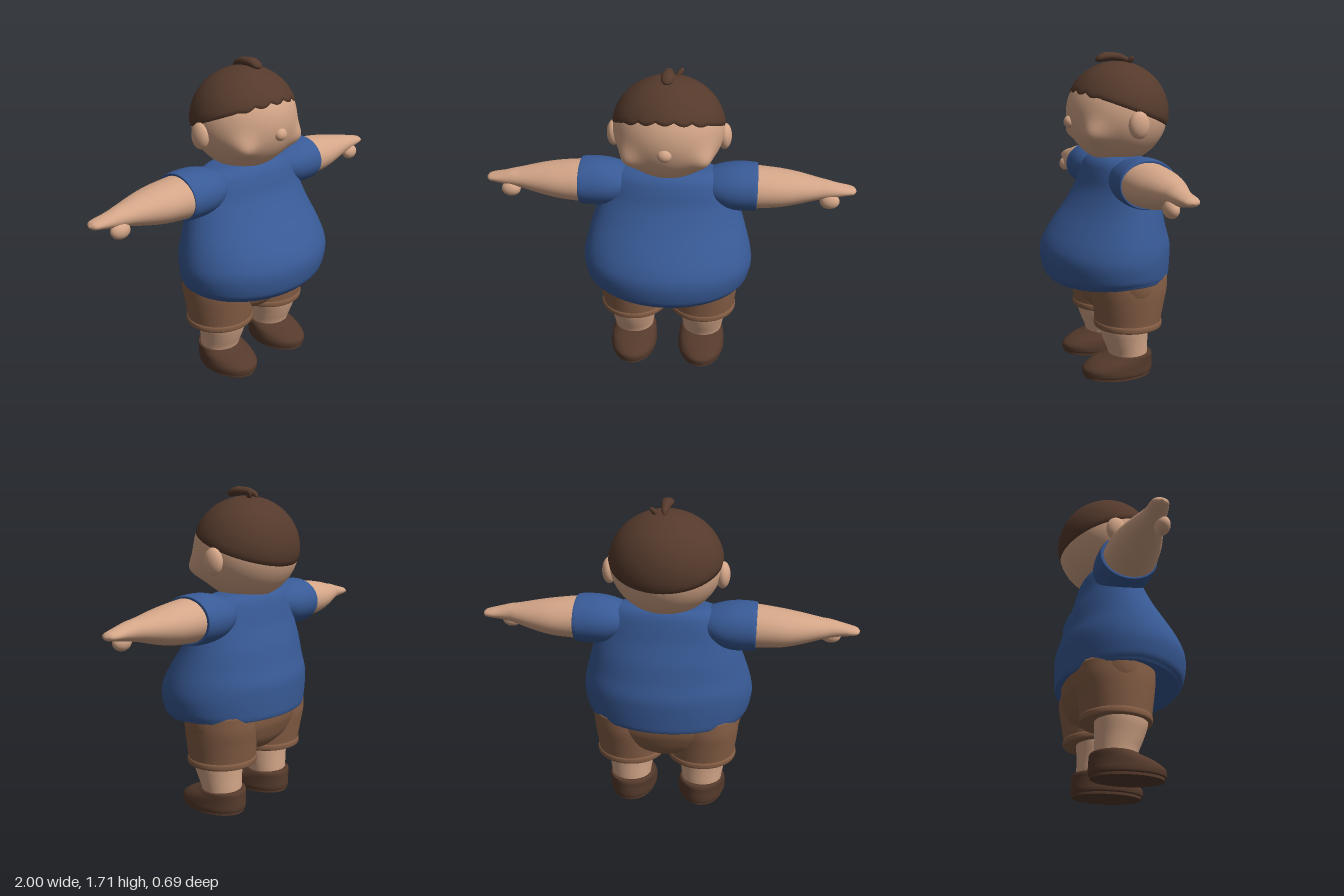
import * as THREE from 'three';

const mat = (name, color) => {
  const m = new THREE.MeshStandardMaterial({ color });
  m.name = name;
  return m;
};

// Catmull-Rom blend of one number
const cr = (a, b, c, d, t) =>
  0.5 * (2 * b + (c - a) * t + (2 * a - 5 * b + 4 * c - d) * t * t + (3 * b - a - 3 * c + d) * t * t * t);

// Closed smooth surface from rows of points, with both ends capped
function skin(rows) {
  const n = rows[0].length, pos = rows.flat(2), index = [];
  for (let i = 0; i < rows.length - 1; i++)
    for (let j = 0; j < n; j++) {
      const a = i * n + j, b = i * n + (j + 1) % n, c = a + n, d = b + n;
      index.push(a, c, b, b, c, d);
    }
  const last = (rows.length - 1) * n;
  for (let j = 1; j < n - 1; j++) {
    index.push(0, j, j + 1);
    index.push(last, last + j + 1, last + j);
  }
  const g = new THREE.BufferGeometry();
  g.setAttribute('position', new THREE.Float32BufferAttribute(pos, 3));
  g.setIndex(index);
  g.computeVertexNormals();
  return g;
}

// Loft along an axis; section = [t, centreU, centreV, radiusU, radiusV]
// axis y: u=x v=z; axis x: u=z v=y; axis z: u=y v=x
const place = {
  y: (t, u, v) => [u, t, v],
  x: (t, u, v) => [t, v, u],
  z: (t, u, v) => [v, u, t],
};
function loft(axis, s, { steps = 5, sides = 48, bend = null } = {}) {
  const rows = [];
  const at = i => s[Math.max(0, Math.min(s.length - 1, i))];
  for (let i = 0; i < s.length - 1; i++)
    for (let k = 0; k < steps + (i === s.length - 2 ? 1 : 0); k++) {
      const [t, cu, cv, ru, rv] = s[i].map((_, c) => cr(at(i - 1)[c], at(i)[c], at(i + 1)[c], at(i + 2)[c], k / steps));
      const row = [];
      for (let j = 0; j < sides; j++) {
        const a = j / sides * Math.PI * 2;
        const p = place[axis](t, cu + Math.max(ru, 0.001) * Math.cos(a), cv + Math.max(rv, 0.001) * Math.sin(a));
        if (bend) bend(p, a);
        row.push(p);
      }
      rows.push(row);
    }
  return skin(rows);
}

// Mirrored copy across x, with the corner order turned round
function mirror(g) {
  const m = g.clone().scale(-1, 1, 1), ix = m.index.array;
  for (let i = 0; i < ix.length; i += 3) [ix[i], ix[i + 1]] = [ix[i + 1], ix[i]];
  m.computeVertexNormals();
  return m;
}

const ball = (x, y, z, rx, ry, rz, w = 32) =>
  new THREE.SphereGeometry(1, w, Math.round(w * 0.7)).scale(rx, ry, rz).translate(x, y, z);

export function createModel() {
  const model = new THREE.Group();
  const skinTone = mat('skin', 0xd4a688), blue = mat('shirtBlue', 0x385a96);
  const tan = mat('shortsBrown', 0x855e45), dark = mat('darkBrown', 0x553a2c);
  const add = (name, g, m) => {
    const mesh = new THREE.Mesh(g, m);
    mesh.name = name;
    model.add(mesh);
  };
  const pair = (name, g, m) => {
    add('left' + name, g, m);
    add('right' + name, mirror(g), m);
  };

  // Shirt: big belly, hem dipping at the front
  add('shirt', loft('y', [
    [0.555, 0, -0.02, 0.34, 0.24],
    [0.54, 0, -0.02, 0.395, 0.285],
    [0.53, 0, -0.015, 0.425, 0.31],
    [0.545, 0, -0.01, 0.437, 0.322],
    [0.575, 0, 0.0, 0.452, 0.334],
    [0.65, 0, 0.005, 0.465, 0.341],
    [0.72, 0, -0.005, 0.457, 0.328],
    [0.8, 0, -0.02, 0.436, 0.29],
    [0.9, 0, -0.045, 0.405, 0.24],
    [1.0, 0, -0.058, 0.375, 0.192],
    [1.08, 0, -0.062, 0.345, 0.168],
    [1.13, 0, -0.065, 0.31, 0.15],
    [1.16, 0, -0.07, 0.25, 0.125],
    [1.17, 0, -0.07, 0.15, 0.09],
    [1.17, 0, -0.07, 0.01, 0.01],
  ], {
    sides: 64,
    bend: (p, a) => {
      const k = Math.max(0, Math.min(1, (0.68 - p[1]) / 0.13));
      p[1] -= 0.03 * k * Math.max(0, Math.sin(a));
    },
  }), blue);

  // Sleeves, with a rim turned in around the arm
  pair('Sleeve', loft('x', [
    [0.17, -0.07, 1.07, 0.08, 0.07],
    [0.24, -0.07, 1.07, 0.125, 0.095],
    [0.3, -0.07, 1.066, 0.145, 0.117],
    [0.36, -0.07, 1.066, 0.152, 0.127],
    [0.42, -0.07, 1.066, 0.152, 0.128],
    [0.466, -0.07, 1.066, 0.15, 0.124],
    [0.475, -0.07, 1.066, 0.143, 0.118],
    [0.47, -0.07, 1.066, 0.12, 0.1],
  ]), blue);

  // Arms tapering to pointed mitten hands
  pair('Arm', loft('x', [
    [0.4, -0.065, 1.066, 0.135, 0.112],
    [0.475, -0.065, 1.066, 0.137, 0.11],
    [0.6, -0.07, 1.064, 0.127, 0.098],
    [0.7, -0.07, 1.066, 0.104, 0.08],
    [0.8, -0.065, 1.069, 0.075, 0.056],
    [0.85, -0.06, 1.07, 0.061, 0.047],
    [0.9, -0.06, 1.068, 0.052, 0.036],
    [0.95, -0.065, 1.066, 0.046, 0.026],
    [0.985, -0.066, 1.064, 0.034, 0.018],
    [1.0, -0.066, 1.063, 0.003, 0.003],
  ]), skinTone);
  pair('Thumb', ball(0.86, 1.017, -0.022, 0.052, 0.042, 0.036), skinTone);

  // Head with raised cheeks
  const C = [0, 1.392, -0.07];
  const head = ball(...C, 0.29, 0.266, 0.27, 72);
  const hp = head.attributes.position, v = new THREE.Vector3();
  for (let i = 0; i < hp.count; i++) {
    v.fromBufferAttribute(hp, i);
    const d2 = (Math.abs(v.x) - 0.19) ** 2 + (v.y - 1.29) ** 2 + (v.z - 0.11) ** 2;
    const b = 0.045 * Math.exp(-d2 / 0.0045);
    hp.setXYZ(i, v.x + Math.sign(v.x) * b * 0.45, v.y - b * 0.2, v.z + b * 0.85);
  }
  head.computeVertexNormals();
  add('head', head, skinTone);
  add('nose', ball(0, 1.348, 0.194, 0.037, 0.033, 0.029), skinTone);
  pair('Ear', ball(0.292, 1.343, -0.088, 0.037, 0.07, 0.055), skinTone);

  // Hair cap: sloping edge, scalloped across the forehead
  const rows = [], n = 144, up = 18;
  for (let i = -1; i <= up; i++) {
    const row = [];
    for (let j = 0; j < n; j++) {
      const a = j / n * Math.PI * 2, s = Math.sin(a);
      const fringe = Math.max(0, Math.min(1, (s - 0.55) * 4));
      const edge = 1.412 + 0.1 * s - 0.016 * fringe * (Math.abs(Math.sin(a * 9)) - 0.3);
      const lat0 = Math.asin((edge - C[1]) / 0.271);
      const lat = lat0 + (Math.PI / 2 - 0.005 - lat0) * Math.max(0, i) / up;
      const k = i < 0 ? 0.95 : i === 0 ? 0.995 : 1.012;
      row.push([0.293 * k * Math.cos(lat) * Math.cos(a), C[1] + 0.268 * k * Math.sin(lat),
        C[2] + 0.272 * k * Math.cos(lat) * s]);
    }
    rows.push(row);
  }
  add('hair', skin(rows), dark);

  // Curl and small tuft on the crown
  add('curl', loft('z', [
    [-0.145, 1.655, 0, 0.003, 0.003],
    [-0.13, 1.668, 0, 0.014, 0.014],
    [-0.09, 1.682, 0, 0.02, 0.022],
    [-0.04, 1.687, 0, 0.022, 0.03],
    [0.0, 1.684, 0, 0.024, 0.033],
    [0.035, 1.674, 0, 0.017, 0.026],
    [0.05, 1.668, 0, 0.002, 0.003],
  ], { sides: 20 }), dark);
  add('tuft', ball(0, 0, 0, 0.014, 0.034, 0.014, 16).rotateZ(-0.6).rotateX(-0.5).translate(0.05, 1.662, -0.125), dark);

  // Shorts: hips, then two legs with turned cuffs
  add('shortsHips', loft('y', [
    [0.31, 0, -0.065, 0.04, 0.08],
    [0.33, 0, -0.065, 0.14, 0.135],
    [0.38, 0, -0.066, 0.31, 0.18],
    [0.44, 0, -0.068, 0.385, 0.205],
    [0.5, 0, -0.07, 0.408, 0.22],
    [0.6, 0, -0.07, 0.41, 0.225],
  ]), tan);
  pair('ShortsLeg', loft('y', [
    [0.285, 0.2, -0.065, 0.13, 0.13],
    [0.275, 0.2, -0.065, 0.178, 0.172],
    [0.28, 0.2, -0.065, 0.19, 0.181],
    [0.3, 0.2, -0.065, 0.191, 0.182],
    [0.309, 0.2, -0.065, 0.186, 0.178],
    [0.314, 0.2, -0.065, 0.184, 0.178],
    [0.4, 0.205, -0.067, 0.19, 0.19],
    [0.48, 0.212, -0.07, 0.19, 0.2],
    [0.56, 0.215, -0.07, 0.185, 0.2],
  ]), tan);

  // Legs
  pair('Leg', loft('y', [
    [0.08, 0.203, -0.066, 0.108, 0.1],
    [0.13, 0.203, -0.064, 0.112, 0.106],
    [0.2, 0.204, -0.05, 0.124, 0.12],
    [0.27, 0.205, -0.04, 0.138, 0.132],
    [0.33, 0.205, -0.04, 0.14, 0.134],
  ]), skinTone);

  // Shoes on thin inset soles
  pair('Shoe', loft('y', [
    [0.012, 0.2, -0.007, 0.1, 0.16],
    [0.014, 0.2, -0.007, 0.127, 0.187],
    [0.03, 0.2, -0.007, 0.134, 0.193],
    [0.055, 0.2, -0.009, 0.134, 0.191],
    [0.085, 0.2, -0.03, 0.131, 0.168],
    [0.108, 0.2, -0.06, 0.125, 0.137],
    [0.122, 0.202, -0.074, 0.118, 0.116],
    [0.124, 0.203, -0.075, 0.1, 0.1],
  ]), dark);
  const sole = new THREE.CylinderGeometry(1, 1, 0.016, 48).scale(0.124, 1, 0.184).translate(0.2, 0.008, -0.007);
  pair('Sole', sole, dark);

  return model;
}
